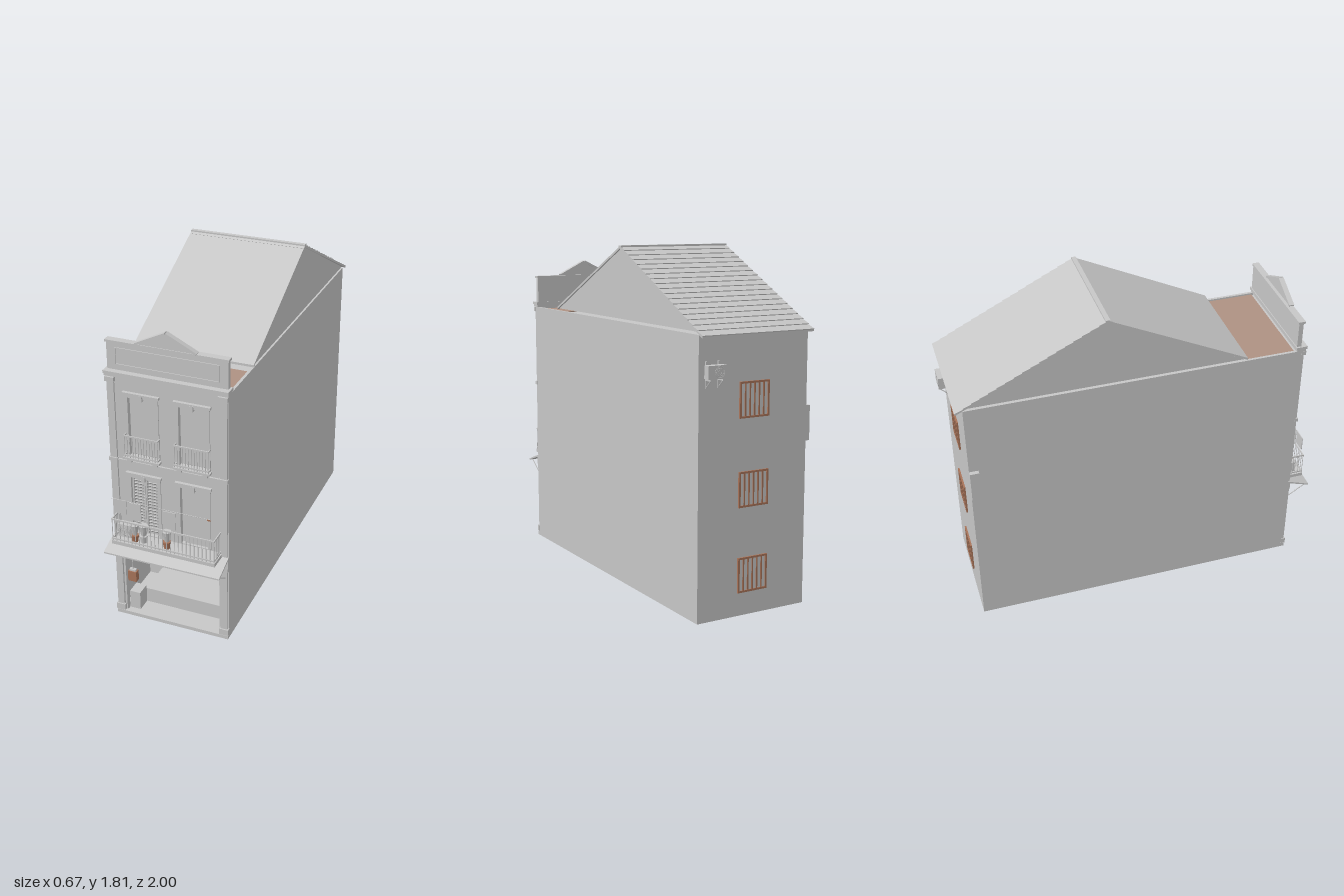
import * as THREE from 'three';

const mat = (name, color) => Object.assign(new THREE.MeshStandardMaterial({ color }), { name });

export function createModel() {
  const stone = mat('stone grey', 0xc6c6c6);
  const clay = mat('terrace brown', 0xae9182);
  const wood = mat('wood brown', 0xa8745a);
  const root = new THREE.Group();
  root.name = 'townHouse';
  const X0 = -0.315, X1 = 0.325, CX = 0.005;

  const add = (name, geo, m = stone, parent = root) => {
    const mesh = new THREE.Mesh(geo, m);
    mesh.name = name;
    parent.add(mesh);
    return mesh;
  };
  const box = (name, x0, x1, y0, y1, z0, z1, m = stone, parent = root) => {
    const mesh = add(name, new THREE.BoxGeometry(x1 - x0, y1 - y0, z1 - z0), m, parent);
    mesh.position.set((x0 + x1) / 2, (y0 + y1) / 2, (z0 + z1) / 2);
    return mesh;
  };
  const group = (name) => {
    const g = new THREE.Group();
    g.name = name;
    root.add(g);
    return g;
  };
  // prism along x from a [z, y] outline
  const prism = (name, pts, x0, x1, m = stone, parent = root) => {
    const shape = new THREE.Shape(pts.map((p) => new THREE.Vector2(...p)));
    const geo = new THREE.ExtrudeGeometry(shape, { depth: x1 - x0, bevelEnabled: false });
    return add(name, geo.rotateY(-Math.PI / 2).translate(x1, 0, 0), m, parent);
  };
  // thin rod between two points
  const rod = (name, a, b, r, parent = root, m = stone) => {
    const p = new THREE.Vector3(...a), q = new THREE.Vector3(...b);
    const mesh = add(name, new THREE.CylinderGeometry(r, r, p.distanceTo(q), 6), m, parent);
    mesh.position.copy(p).lerp(q, 0.5);
    mesh.quaternion.setFromUnitVectors(new THREE.Vector3(0, 1, 0), q.sub(p).normalize());
    return mesh;
  };
  const rectPath = (x0, x1, y0, y1, P) => {
    const s = new P();
    s.moveTo(x0, y0); s.lineTo(x1, y0); s.lineTo(x1, y1); s.lineTo(x0, y1); s.closePath();
    return s;
  };

  // outer walls, open underneath
  box('leftWall', X1 - 0.015, X1, 0, 1.418, -0.95, 0.87);
  box('rightWall', X0, X0 + 0.015, 0, 1.418, -0.95, 0.87);
  box('backWall', X0 + 0.015, X1 - 0.015, 0, 1.418, -0.95, -0.935);
  box('topSlab', X0 + 0.015, X1 - 0.015, 1.39, 1.405, -0.935, 0.85);
  box('terraceFloor', -0.29, 0.31, 1.405, 1.409, 0.57, 0.83, clay);

  // front wall with openings
  const windows = [-0.13, 0.14];
  const face = rectPath(X0, X1, 0.44, 1.418, THREE.Shape);
  for (const x of windows) {
    face.holes.push(rectPath(x - 0.078, x + 0.078, 0.53, 0.87, THREE.Path));
    face.holes.push(rectPath(x - 0.078, x + 0.078, 0.99, 1.32, THREE.Path));
  }
  add('frontWall', new THREE.ExtrudeGeometry(face, { depth: 0.02, bevelEnabled: false }).translate(0, 0, 0.85));

  // shop on the ground floor
  const shop = group('shop');
  box('shopFloor', -0.3, 0.31, 0, 0.015, 0.5, 0.88, stone, shop);
  box('shopPlatform', -0.2, 0.27, 0.015, 0.1, 0.51, 0.76, stone, shop);
  box('shopBackWall', -0.3, 0.31, 0.015, 0.42, 0.5, 0.51, stone, shop);
  box('shopCeiling', -0.3, 0.31, 0.42, 0.44, 0.5, 0.85, stone, shop);
  box('shopLintel', X0, X1, 0.42, 0.45, 0.85, 0.88, stone, shop);
  box('cabinet', -0.26, -0.2, 0.015, 0.12, 0.76, 0.84, stone, shop);
  for (const [a, b] of [[X0, -0.262], [0.272, X1]]) box('shopJamb', a, b, 0, 0.42, 0.84, 0.87, stone, shop);
  box('threshold', X0, X1, 0, 0.02, 0.86, 0.885, stone, shop);
  box('wallShelf', 0.235, 0.27, 0.343, 0.355, 0.84, 0.86, stone, shop);
  box('lantern', -0.243, -0.195, 0.225, 0.285, 0.855, 0.885, wood, shop);
  box('lanternCap', -0.237, -0.201, 0.285, 0.295, 0.86, 0.88, stone, shop);
  rod('lanternCord', [-0.219, 0.29, 0.87], [-0.219, 0.43, 0.87], 0.003, shop);

  // corner pilasters
  for (const s of [-1, 1]) {
    const p = group('pilaster'), x = CX + s * 0.297;
    const part = (name, w, y0, y1, z) => box(name, x - w, x + w, y0, y1, 0.865, z, stone, p);
    part('pilasterBase', 0.025, 0.025, 0.06, 0.889);
    part('pilasterShaft', 0.019, 0.06, 0.44, 0.882);
    part('pilasterUpperShaft', 0.019, 0.51, 1.395, 0.88);
    part('pilasterBelt', 0.024, 0.945, 0.965, 0.887);
    part('pilasterCapital', 0.025, 1.39, 1.415, 0.89);
  }
  box('beltCourse', X0, X1, 0.948, 0.96, 0.86, 0.88);

  // window and balcony-door surrounds
  const railing = (name, x0, x1, y0, y1, zb, z, n) => {
    const g = group(name);
    for (const y of [y0 + 0.012, y1]) {
      box('rail', x0, x1, y - 0.004, y + 0.004, z - 0.006, z, stone, g);
      for (const x of [x0, x1 - 0.006]) box('sideRail', x, x + 0.006, y - 0.004, y + 0.004, zb, z, stone, g);
    }
    for (let i = 0; i <= n; i++) {
      const x = x0 + 0.003 + (x1 - x0 - 0.006) * i / n;
      rod('baluster', [x, y0, z - 0.003], [x, y1, z - 0.003], 0.002, g);
    }
    const m = Math.floor((z - zb) / 0.016);
    for (let i = 0; i < m; i++) for (const x of [x0 + 0.003, x1 - 0.003])
      rod('sideBaluster', [x, y0, zb + i * 0.016], [x, y1, zb + i * 0.016], 0.002, g);
    return g;
  };
  for (const x of windows) for (const [y0, y1] of [[0.53, 0.87], [0.99, 1.32]]) {
    const g = group('windowSurround');
    box('windowPane', x - 0.08, x + 0.08, y0, y1, 0.838, 0.848, stone, g);
    for (const s of [-1, 1]) {
      const c = x + s * 0.082;
      box('windowJamb', c - 0.008, c + 0.008, y0, y1, 0.85, 0.876, stone, g);
    }
    box('windowHead', x - 0.09, x + 0.09, y1 - 0.005, y1 + 0.012, 0.85, 0.878, stone, g);
    box('windowHood', x - 0.098, x + 0.098, y1 + 0.012, y1 + 0.025, 0.85, 0.888, stone, g);
    box('keystone', x - 0.01, x + 0.01, y1 - 0.012, y1 + 0.018, 0.86, 0.89, stone, g);
  }
  box('windowBlind', -0.19, -0.06, 1.21, 1.32, 0.848, 0.855);
  box('doorPanel', 0.08, 0.215, 0.53, 0.86, 0.848, 0.856);
  for (const x of windows) {
    box('smallBalconySlab', x - 0.098, x + 0.098, 0.978, 0.99, 0.86, 0.902);
    for (const s of [-1, 1]) box('smallBalconyBracket', x + s * 0.07 - 0.012, x + s * 0.07 + 0.012, 0.96, 0.978, 0.86, 0.893);
    railing('smallBalconyRailing', x - 0.093, x + 0.093, 0.99, 1.11, 0.87, 0.9, 12);
  }

  // louvred shutters
  for (const x of [-0.167, -0.093]) {
    const g = group('shutter');
    for (const s of [-1, 1]) box('shutterStile', x + s * 0.032 - 0.004, x + s * 0.032 + 0.004, 0.535, 0.865, 0.848, 0.862, stone, g);
    for (let y = 0.55; y < 0.86; y += 0.018) {
      box('louvre', x - 0.03, x + 0.03, y - 0.006, y + 0.006, 0.853, 0.856, stone, g).rotation.x = 0.6;
    }
  }

  // long balcony and awning
  box('balconySlab', -0.28, 0.29, 0.505, 0.525, 0.86, 0.972);
  railing('balconyRailing', -0.278, 0.288, 0.525, 0.652, 0.875, 0.97, 26);
  prism('awning', [[0.87, 0.497], [1.0, 0.453], [1.0, 0.461], [0.87, 0.508]], X0, X1);
  box('awningBeam', X0, X1, 0.45, 0.5, 0.86, 0.884);
  for (const x of [-0.3, -0.1, 0.105, 0.31]) {
    rod('awningStrut', [x, 0.458, 0.99], [x, 0.385, 0.88], 0.003);
    box('strutPlate', x - 0.004, x + 0.004, 0.37, 0.45, 0.868, 0.884);
  }

  // things on the balcony
  for (const [a, b, y0, y1] of [[-0.268, -0.195, 0.69, 0.77], [-0.182, -0.115, 0.665, 0.765], [0.01, 0.075, 0.66, 0.76]])
    box('hangingCloth', a, b, y0, y1, 0.953, 0.957);
  rod('clothLine', [-0.28, 0.768, 0.955], [0.27, 0.768, 0.955], 0.0015);
  box('clothPeg', 0.245, 0.265, 0.76, 0.768, 0.953, 0.957, wood);
  for (const [x, z] of [[-0.165, 0.935], [-0.12, 0.925], [0.012, 0.93]]) {
    const pot = add('flowerPot', new THREE.CylinderGeometry(0.022, 0.016, 0.04, 12), x === -0.12 ? stone : wood);
    pot.position.set(x, 0.545, z);
    const plant = add('potPlant', new THREE.CylinderGeometry(0.025, 0.012, 0.06, 7), stone);
    plant.position.set(x, 0.595, z);
  }
  const fan = group('fanUnit');
  box('fanCase', -0.265, -0.195, 0.527, 0.6, 0.885, 0.925, stone, fan);
  for (const r of [0.012, 0.022, 0.031])
    add('fanGrille', new THREE.TorusGeometry(r, 0.002, 4, 20), stone, fan).position.set(-0.23, 0.563, 0.927);

  // cornice, parapet and pediment
  box('corniceLower', X0 - 0.005, X1 + 0.005, 1.418, 1.432, 0.835, 0.885);
  box('corniceUpper', X0 - 0.008, X1 + 0.008, 1.432, 1.447, 0.83, 0.892);
  box('parapet', X0 + 0.003, X1 - 0.003, 1.447, 1.59, 0.835, 0.86);
  box('parapetCap', X0 - 0.002, X1 + 0.002, 1.59, 1.602, 0.83, 0.868);
  for (const y of [1.477, 1.563]) box('panelMoulding', -0.265, 0.275, y - 0.003, y + 0.003, 0.858, 0.865);
  for (const x of [-0.265, 0.275]) box('panelMoulding', x - 0.003, x + 0.003, 1.477, 1.563, 0.858, 0.865);
  const tri = (w, h) => new THREE.Shape([[-w, 0], [w, 0], [0, h]].map((p) => new THREE.Vector2(...p)));
  add('pediment', new THREE.ExtrudeGeometry(tri(0.15, 0.073), { depth: 0.016, bevelEnabled: false })).position.set(CX, 1.602, 0.848);
  for (const s of [-1, 1]) {
    const m = box('pedimentMoulding', -0.088, 0.088, -0.006, 0.006, 0.844, 0.872);
    m.position.x = CX + s * 0.08;
    m.position.y = 1.642;
    m.rotation.z = -s * 0.458;
  }

  // pitched roof over the rear, with a narrow gap above the walls
  prism('attic', [[0.54, 1.432], [-0.2, 1.795], [-0.925, 1.432]], X0, X1);
  prism('frontRoofSlope', [[0.555, 1.428], [0.555, 1.44], [-0.2, 1.81], [-0.2, 1.797]], X0 - 0.006, X1 + 0.006);
  prism('backRoofSlope', [[-0.2, 1.806], [-0.99, 1.414], [-0.99, 1.405], [-0.2, 1.793]], X0 - 0.006, X1 + 0.006);
  const rows = 18;
  const at = (t, d) => [-0.2 - 0.79 * t - d * 0.45, 1.806 - 0.393 * t + d * 0.89];
  for (let i = 0; i < rows; i++) {
    const a = i / rows, b = (i + 1) / rows;
    prism('tileCourse', [at(a, 0), at(b, 0), at(b, 0.006), at(a, 0.001)], X0 - 0.006, X1 + 0.006);
  }
  box('ridgeCap', X0 - 0.007, X1 + 0.007, 1.798, 1.812, -0.212, -0.188);
  const trim = box('ridgeTrim', X0, X1, 1.797, 1.801, -0.186, -0.172);
  trim.rotation.x = 0.456;

  // rear windows with bars
  for (const y of [0.21, 0.645, 1.09]) {
    const g = group('rearWindow');
    box('rearPane', -0.075, 0.085, y - 0.085, y + 0.085, -0.954, -0.949, stone, g);
    for (const s of [-1, 1]) {
      box('rearSill', -0.082, 0.092, y + s * 0.085 - 0.005, y + s * 0.085 + 0.005, -0.959, -0.949, wood, g);
      box('rearJamb', CX + s * 0.082 - 0.005, CX + s * 0.082 + 0.005, y - 0.085, y + 0.085, -0.959, -0.949, wood, g);
    }
    for (let i = -2; i <= 2; i++) box('rearBar', CX + i * 0.027 - 0.004, CX + i * 0.027 + 0.004, y - 0.085, y + 0.085, -0.958, -0.95, wood, g);
  }

  // air conditioner on brackets
  const ac = group('airConditioner');
  box('acCase', 0.2, 0.3, 1.21, 1.275, -0.998, -0.96, stone, ac);
  for (const r of [0.01, 0.019, 0.027])
    add('acGrille', new THREE.TorusGeometry(r, 0.0015, 4, 20), stone, ac).position.set(0.235, 1.242, -0.998);
  for (const x of [0.215, 0.285]) {
    box('acRail', x - 0.004, x + 0.004, 1.2, 1.21, -0.998, -0.948, stone, ac);
    box('acPost', x - 0.004, x + 0.004, 1.16, 1.29, -0.956, -0.948, stone, ac);
    rod('acStrut', [x, 1.203, -0.994], [x, 1.165, -0.953], 0.003, ac);
  }

  // service box on the side wall
  box('serviceBox', -0.338, X0, 0.85, 1.03, -0.95, -0.9);
  return root;
}
